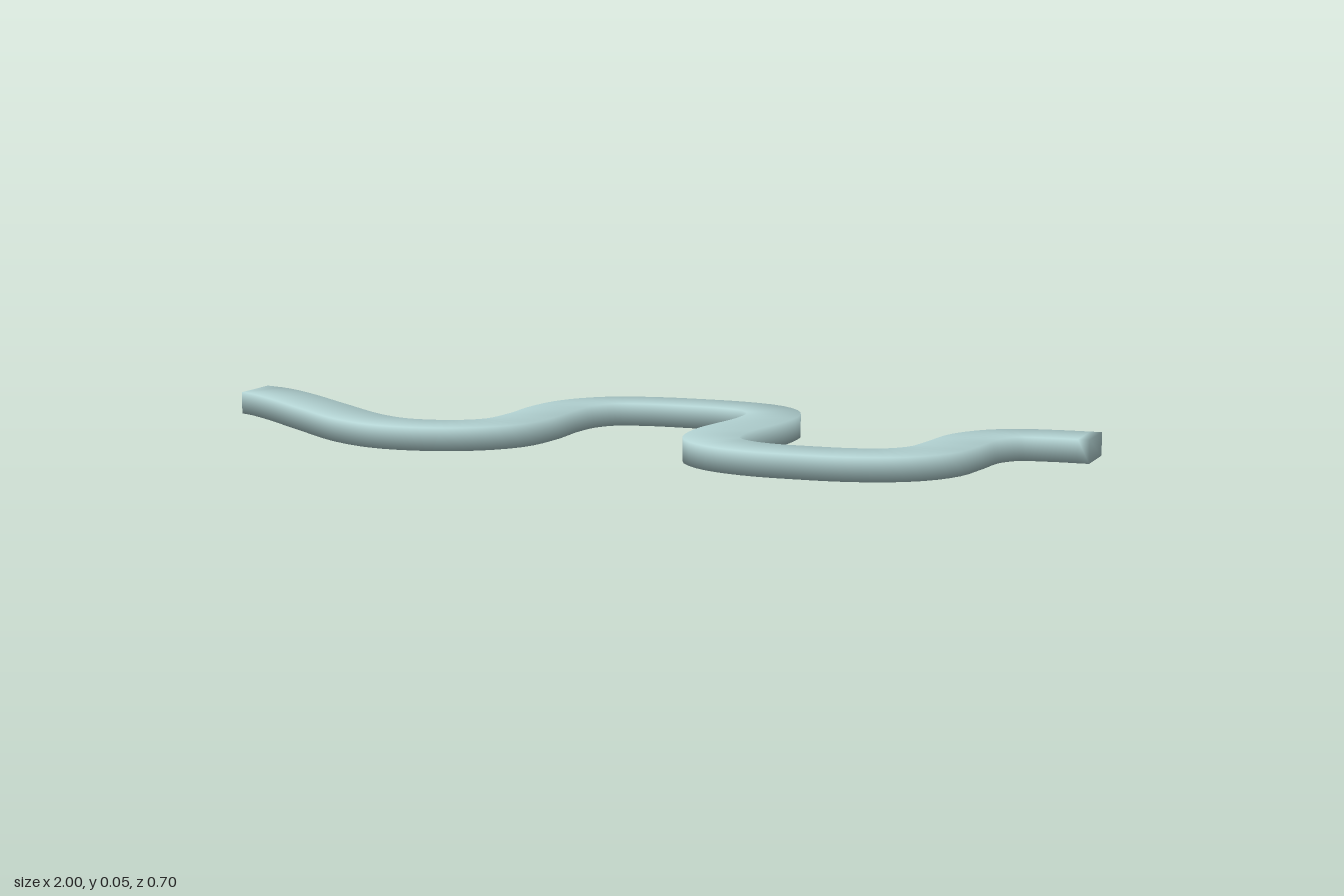
import * as THREE from 'three';

// Centre line on the ground, as [x, z]
const PATH = [
  [-1, -0.14], [-0.945, -0.115], [-0.86, -0.055], [-0.715, 0.065], [-0.555, 0.19],
  [-0.45, 0.23], [-0.32, 0.208], [-0.242, 0.138], [-0.22, 0.03], [-0.219, -0.105],
  [-0.2, -0.198], [-0.15, -0.262], [-0.065, -0.291], [0.037, -0.297], [0.14, -0.291],
  [0.22, -0.262], [0.265, -0.198], [0.272, -0.1], [0.245, 0.09], [0.262, 0.198],
  [0.315, 0.252], [0.395, 0.281], [0.487, 0.286], [0.594, 0.278], [0.684, 0.24],
  [0.733, 0.176], [0.751, 0.085], [0.77, -0.032], [0.825, -0.102], [0.91, -0.121], [1, -0.124],
];
const HALF_WIDTH = 0.06, HEIGHT = 0.05, STEPS = 130;

// Sweep a flat four-cornered section along the path, with shared (smooth) normals
function ribbonGeometry() {
  const curve = new THREE.CatmullRomCurve3(PATH.map(([x, z]) => new THREE.Vector3(x, 0, z)));
  const pos = [], index = [];
  for (let i = 0; i <= STEPS; i++) {
    const p = curve.getPointAt(i / STEPS);
    const t = curve.getTangentAt(i / STEPS);
    // both ends are cut square to x
    if (i === 0 || i === STEPS) t.set(1, 0, 0);
    const sx = -t.z * HALF_WIDTH, sz = t.x * HALF_WIDTH;
    for (const [side, y] of [[1, HEIGHT], [1, 0], [-1, 0], [-1, HEIGHT]]) {
      pos.push(p.x + side * sx, y, p.z + side * sz);
    }
    if (i === STEPS) break;
    for (let k = 0; k < 4; k++) {
      const a = i * 4 + k, b = i * 4 + (k + 1) % 4;
      index.push(a, b, b + 4, a, b + 4, a + 4);
    }
  }
  // end caps
  const e = STEPS * 4;
  index.push(0, 3, 2, 0, 2, 1, e, e + 1, e + 2, e, e + 2, e + 3);
  const geo = new THREE.BufferGeometry();
  geo.setAttribute('position', new THREE.Float32BufferAttribute(pos, 3));
  geo.setIndex(index);
  geo.computeVertexNormals();
  return geo;
}

export function createModel() {
  const group = new THREE.Group();
  group.name = 'windingRiver';
  const river = new THREE.Mesh(ribbonGeometry(), new THREE.MeshStandardMaterial({ color: 0xb4d4d4 }));
  river.name = 'river';
  group.add(river);
  return group;
}
